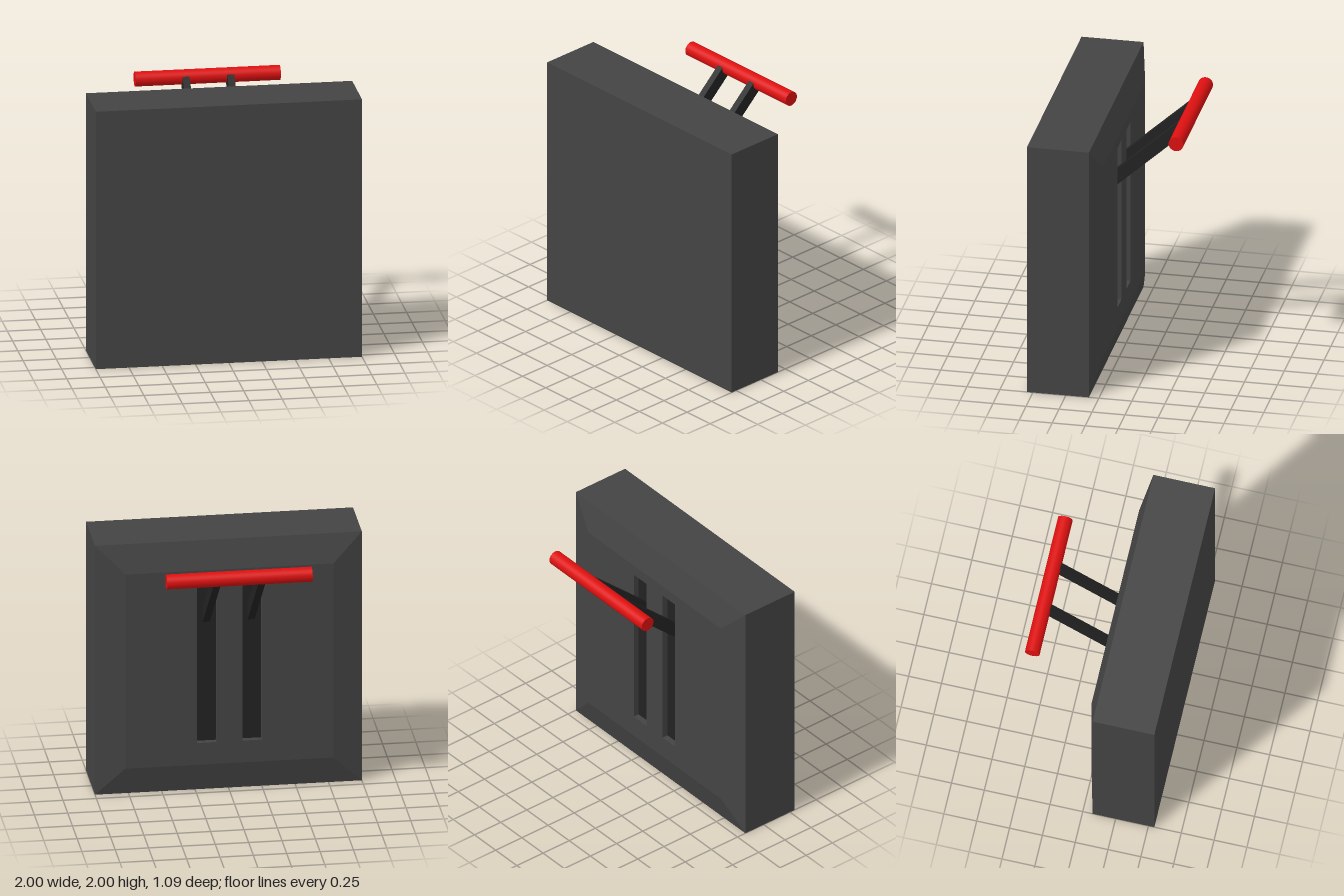
import * as THREE from 'three';

const bodyMat = new THREE.MeshStandardMaterial({ color: 0x444444 });
bodyMat.name = 'charcoal grey';
const darkMat = new THREE.MeshStandardMaterial({ color: 0x222222 });
darkMat.name = 'near black';
const redMat = new THREE.MeshStandardMaterial({ color: 0xdd1010 });
redMat.name = 'red';

const FRONT = 0.545, RIM = 0.075, BACK = 0.017, SLOT_FLOOR = 0.062;
const SLOT = { x: 0.17, y: 1.045, w: 0.147, h: 1.3 };

function add(parent, name, geometry, material) {
  const mesh = new THREE.Mesh(geometry, material);
  mesh.name = name;
  parent.add(mesh);
  return mesh;
}

// Corners of a rectangle, counterclockwise seen from +z
function rect(cx, cy, w, h) {
  return [[-1, -1], [1, -1], [1, 1], [-1, 1]].map(
    ([sx, sy]) => new THREE.Vector2(cx + sx * w / 2, cy + sy * h / 2));
}

// Flat-sided band joining two rectangles at different depths
function band(a, za, b, zb) {
  const p = [];
  for (let i = 0; i < 4; i++) {
    const j = (i + 1) % 4;
    const a0 = [a[i].x, a[i].y, za], a1 = [a[j].x, a[j].y, za];
    const b0 = [b[i].x, b[i].y, zb], b1 = [b[j].x, b[j].y, zb];
    p.push(...a0, ...b0, ...a1, ...a1, ...b0, ...b1);
  }
  const g = new THREE.BufferGeometry();
  g.setAttribute('position', new THREE.Float32BufferAttribute(p, 3));
  g.computeVertexNormals();
  return g;
}

export function createModel() {
  const model = new THREE.Group();
  model.name = 'slabWithHandle';

  // Slab with a bevelled back
  const body = new THREE.Group();
  body.name = 'body';
  model.add(body);
  const outer = rect(0, 1, 2, 2), inner = rect(0, 1, 1.56, 1.56);
  add(body, 'frontPanel', new THREE.ShapeGeometry(new THREE.Shape(outer)), bodyMat).position.z = FRONT;
  add(body, 'sides', band(outer, FRONT, outer, RIM), bodyMat);
  add(body, 'backBevel', band(outer, RIM, inner, BACK), bodyMat);

  // Back panel with two slots cut through it
  const backShape = new THREE.Shape(inner);
  for (const s of [-1, 1]) backShape.holes.push(new THREE.Path(rect(s * SLOT.x, SLOT.y, SLOT.w, SLOT.h)));
  const back = add(body, 'backPanel', new THREE.ShapeGeometry(backShape), bodyMat);
  back.rotation.y = Math.PI;
  back.position.z = BACK;

  // Handle bar
  const barY = 1.915, barZ = -0.49;
  const bar = add(model, 'handleBar', new THREE.CylinderGeometry(0.056, 0.056, 1.09, 32), redMat);
  bar.rotation.z = Math.PI / 2;
  bar.position.set(0, barY, barZ);

  // Slots and the slanted arms that rise from them
  const angle = THREE.MathUtils.degToRad(42.3);
  const run = 0.59, length = run / Math.cos(angle);
  for (const s of [-1, 1]) {
    const edge = rect(s * SLOT.x, SLOT.y, SLOT.w, SLOT.h);
    add(body, 'slotWalls', band(edge, BACK, edge, SLOT_FLOOR), bodyMat);
    const floor = add(body, 'slotFloor', new THREE.PlaneGeometry(SLOT.w, SLOT.h), darkMat);
    floor.rotation.y = Math.PI;
    floor.position.set(s * SLOT.x, SLOT.y, SLOT_FLOOR);

    const arm = add(model, 'handleArm', new THREE.BoxGeometry(0.053, 0.096, length), darkMat);
    arm.rotation.x = angle;
    arm.position.set(s * 0.168, barY - run * Math.tan(angle) / 2, barZ + run / 2);
  }
  return model;
}
